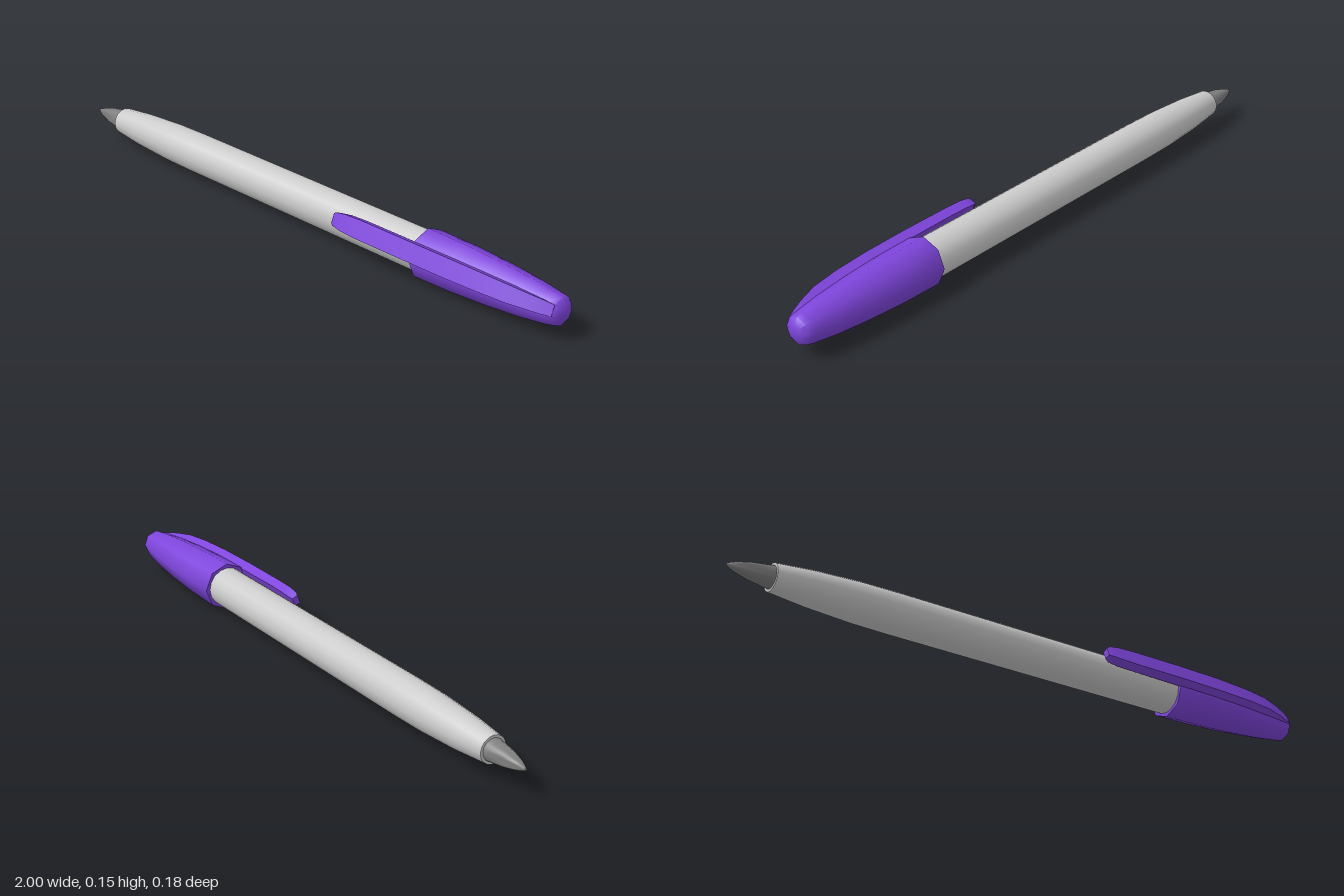
import * as THREE from 'three';
import { toCreasedNormals } from 'three/addons/utils/BufferGeometryUtils.js';

const AXIS_Y = 0.0765, AXIS_Z = -0.013;

// Turned part along the x axis; profile is a list of [x, radius]
function turned(name, profile, sides, color) {
  const geo = new THREE.LatheGeometry(profile.map(([x, r]) => new THREE.Vector2(r, x)), sides);
  geo.rotateZ(-Math.PI / 2);
  const mesh = new THREE.Mesh(toCreasedNormals(geo, 0.9), new THREE.MeshStandardMaterial({ color }));
  mesh.name = name;
  return mesh;
}

// Rectangular bar lofted along x; sections are [x, inner, outer, halfWidth]
function loftedBar(sections) {
  const pos = [], index = [];
  for (const [x, inner, outer, w] of sections)
    pos.push(x, -w, inner, x, -w, outer, x, w, outer, x, w, inner);
  for (let i = 0; i < sections.length - 1; i++)
    for (let j = 0; j < 4; j++) {
      const a = i * 4 + j, b = i * 4 + (j + 1) % 4;
      index.push(a, a + 4, b, b, a + 4, b + 4);
    }
  // end faces
  const e = (sections.length - 1) * 4;
  index.push(0, 1, 2, 0, 2, 3, e, e + 2, e + 1, e, e + 3, e + 2);
  const geo = new THREE.BufferGeometry();
  geo.setAttribute('position', new THREE.Float32BufferAttribute(pos, 3));
  geo.setIndex(index);
  return toCreasedNormals(geo, 0.6);
}

export function createModel() {
  const pen = new THREE.Group();
  pen.name = 'pen';
  const purple = 0x7f45dd;

  // Barrel, slightly tapered towards the writing end
  pen.add(turned('barrel', [
    [-0.865, 0], [-0.865, 0.042], [-0.75, 0.053], [-0.6, 0.0605], [-0.48, 0.062], [0.6, 0.062], [0.6, 0],
  ], 16, 0xcccccc));

  // Writing tip
  pen.add(turned('tip', [
    [-1, 0], [-0.998, 0.004], [-0.97, 0.015], [-0.93, 0.025], [-0.86, 0.035],
  ], 16, 0x808080));

  // Eight-sided cap with a rounded end
  pen.add(turned('cap', [
    [0.505, 0.055], [0.505, 0.0755], [0.64, 0.0735], [0.77, 0.067], [0.88, 0.058],
    [0.965, 0.047], [0.985, 0.042], [0.997, 0.025], [1, 0],
  ], 8, purple));

  // Clip, lying over one flat of the cap and blending into its end
  const clip = new THREE.Mesh(loftedBar([
    [0.215, 0.074, 0.094, 0.014], [0.225, 0.07, 0.098, 0.02], [0.26, 0.069, 0.1, 0.025],
    [0.32, 0.069, 0.1, 0.0275], [0.5, 0.067, 0.1, 0.0275], [0.65, 0.062, 0.097, 0.0275],
    [0.77, 0.055, 0.091, 0.026], [0.86, 0.045, 0.081, 0.024], [0.92, 0.035, 0.065, 0.021],
    [0.96, 0.03, 0.051, 0.019], [0.985, 0.025, 0.04, 0.016],
  ]), new THREE.MeshStandardMaterial({ color: purple }));
  clip.name = 'clip';
  clip.rotation.x = -Math.PI / 8;
  pen.add(clip);

  pen.position.set(0, AXIS_Y, AXIS_Z);
  const model = new THREE.Group();
  model.add(pen);
  return model;
}
